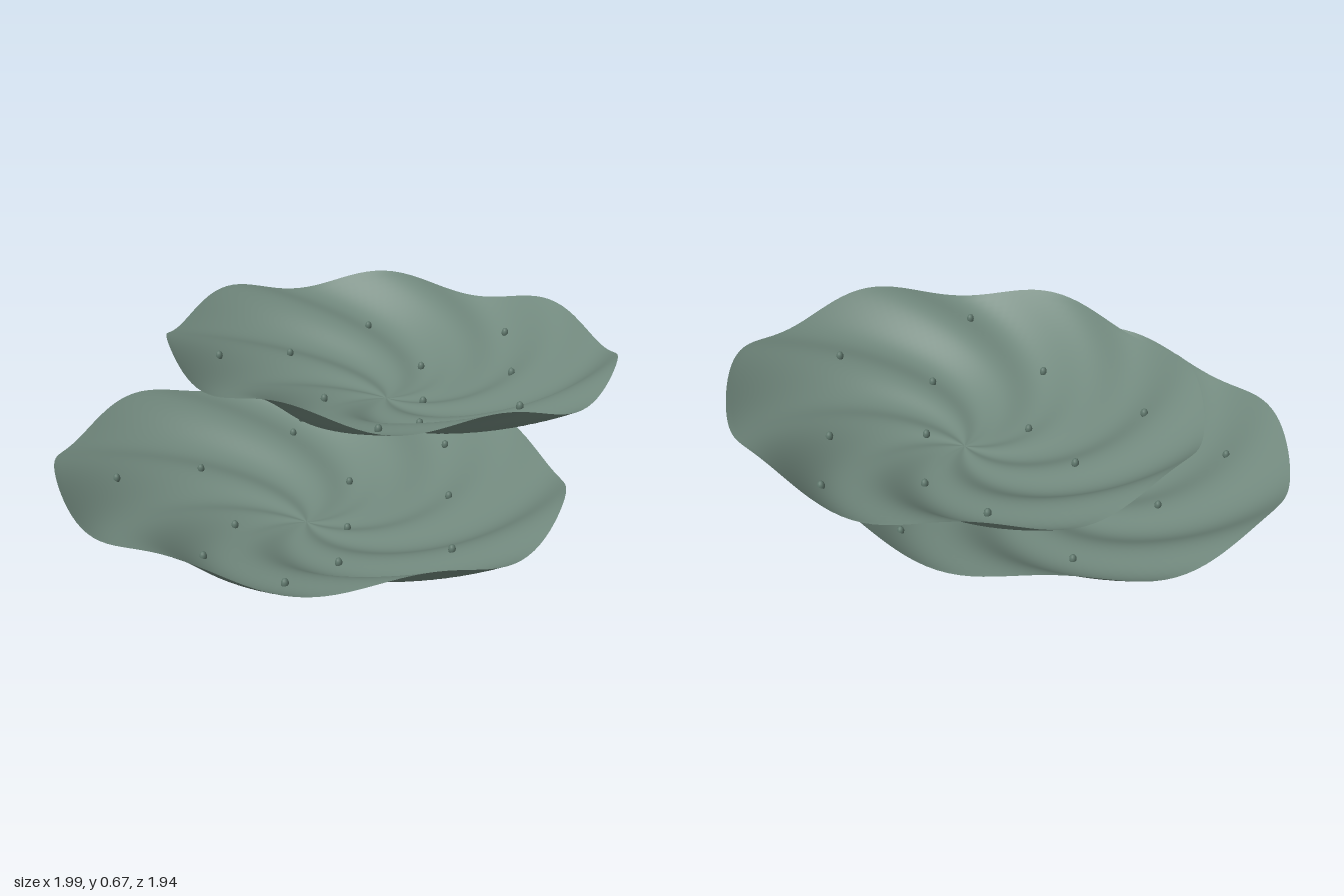
import * as THREE from 'three';
import { mergeVertices } from 'three/addons/utils/BufferGeometryUtils.js';

const LOBES = 7;
const TWIST = 1.5; // how far each ridge swirls round from centre to rim, in radians
const PHASE = -0.09; // direction of the first rim crest
const KNOBS = 12;
const GOLDEN_ANGLE = Math.PI * (3 - Math.sqrt(5));

// Height of the rippled dish at a point of the unit disc
function dishHeight(x, z) {
  const r = Math.hypot(x, z);
  const angle = Math.atan2(x, z);
  return 0.23 * r * r + 0.034 * r * Math.cos(LOBES * (angle - PHASE - TWIST * (r - 1)));
}

// Thin oval sheet with swirling ridges
function plateGeometry(rx, rz) {
  let g = new THREE.RingGeometry(0.0005, 1, 140, 40).rotateX(-Math.PI / 2);
  g.deleteAttribute('uv');
  g.deleteAttribute('normal');
  g = mergeVertices(g, 1e-5);
  const p = g.attributes.position;
  for (let i = 0; i < p.count; i++) {
    const x = p.getX(i), z = p.getZ(i);
    p.setXYZ(i, x * rx, dishHeight(x, z), z * rz);
  }
  g.computeVertexNormals();
  return g;
}

export function createModel() {
  const model = new THREE.Group();
  model.name = 'platingCoral';
  const plateMaterial = new THREE.MeshStandardMaterial({ color: 0x71887d, side: THREE.DoubleSide });
  const knobMaterial = new THREE.MeshStandardMaterial({ color: 0x5f776c });
  const knobGeometry = new THREE.SphereGeometry(0.0135, 12, 8).scale(1, 1.4, 1);

  function addTier(name, x, y, z, rx, rz) {
    const tier = new THREE.Group();
    tier.name = name;
    tier.position.set(x, y, z);

    const plate = new THREE.Mesh(plateGeometry(rx, rz), plateMaterial);
    plate.name = 'plate';
    tier.add(plate);

    // Small polyps spread in a sunflower pattern
    for (let i = 0; i < KNOBS; i++) {
      const r = 0.86 * Math.sqrt((i + 0.5) / KNOBS);
      const u = r * Math.cos(i * GOLDEN_ANGLE);
      const v = r * Math.sin(i * GOLDEN_ANGLE);
      const knob = new THREE.Mesh(knobGeometry, knobMaterial);
      knob.name = 'polyp';
      knob.position.set(u * rx, dishHeight(u, v) + 0.007, v * rz);
      tier.add(knob);
    }
    model.add(tier);
  }

  addTier('lowerTier', -0.03, 0.002, 0.14, 0.967, 0.83);
  addTier('upperTier', 0.135, 0.4, -0.232, 0.862, 0.742);
  return model;
}
